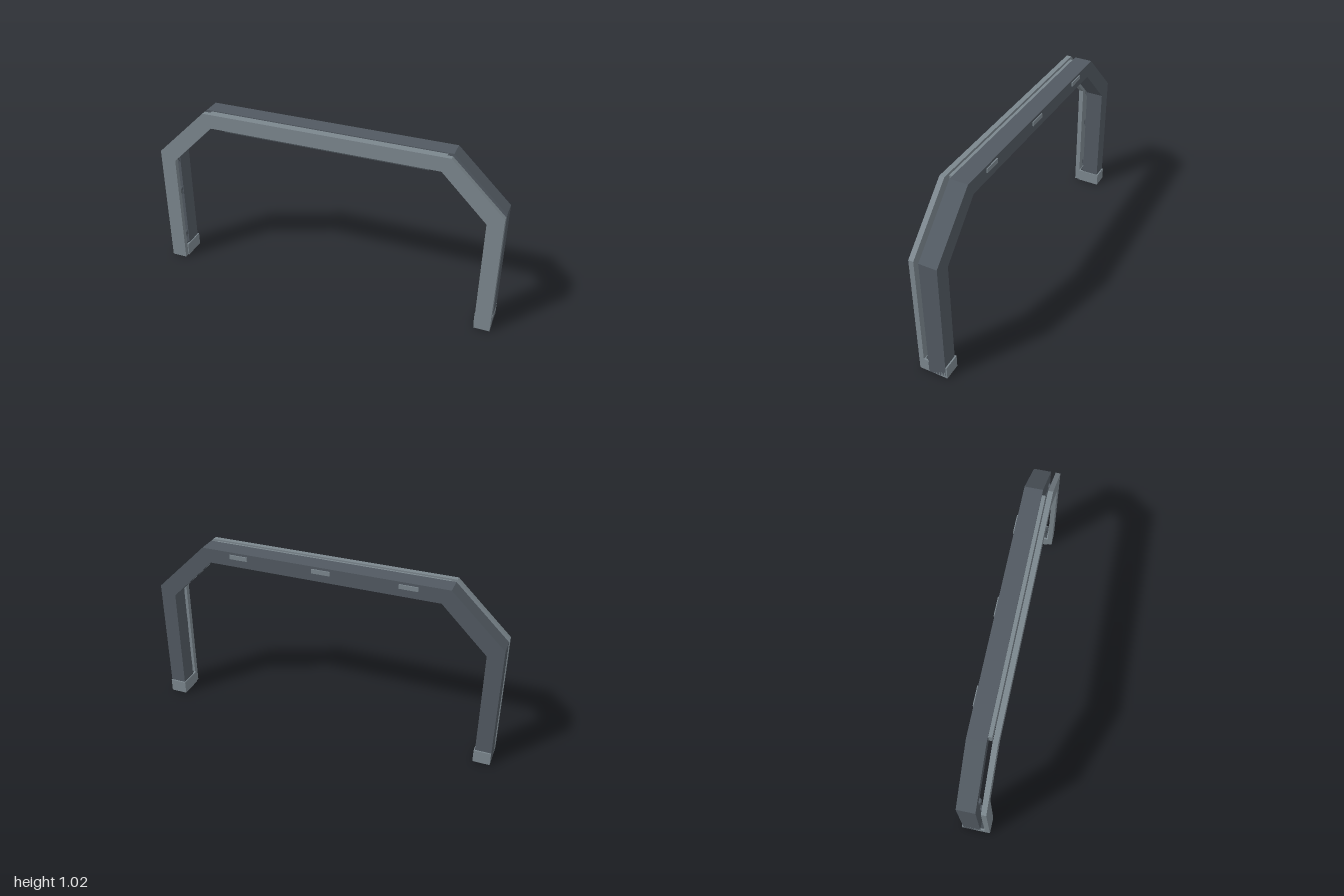
import * as THREE from 'three';

const mat = (name, color) => {
  const m = new THREE.MeshStandardMaterial({ color });
  m.name = name;
  return m;
};

export function createModel() {
  const group = new THREE.Group();
  const plateGrey = mat('plate grey', 0x7b868d);
  const bodyGrey = mat('body grey', 0x515961);
  const darkGrey = mat('dark grey', 0x434a50);
  const amber = mat('amber', 0x9a7040);

  const add = (name, geometry, material, x = 0, y = 0, z = 0, parent = group) => {
    const mesh = new THREE.Mesh(geometry, material);
    mesh.name = name;
    mesh.position.set(x, y, z);
    parent.add(mesh);
    return mesh;
  };
  // Box given by its minimum and maximum corners
  const span = (name, material, x0, x1, y0, y1, z0, z1) =>
    add(name, new THREE.BoxGeometry(x1 - x0, y1 - y0, z1 - z0), material,
      (x0 + x1) / 2, (y0 + y1) / 2, (z0 + z1) / 2);

  // Arch with chamfered shoulders, mirrored about x = 0
  const half = [[0.91, 0], [1, 0], [1, 0.73], [0.7, 1.02]];
  const inner = [[0.655, 0.937], [0.91, 0.682]];
  const mirror = (pts) => pts.map(([x, y]) => [-x, y]).reverse();
  const outline = [...half, ...mirror(half), ...mirror(inner), ...inner.slice(0, 1), inner[1]];
  const archShape = new THREE.Shape(outline.map(([x, y]) => new THREE.Vector2(x, y)));
  const arch = (name, material, z0, z1) =>
    add(name, new THREE.ExtrudeGeometry(archShape, { depth: z1 - z0, bevelEnabled: false }),
      material, 0, 0, z0);

  arch('rearFrame', bodyGrey, -0.073, 0.028);
  arch('frontPlate', plateGrey, 0.055, 0.083);

  // Rail joining plate and frame along the top beam
  span('mountingRail', plateGrey, -0.67, 0.67, 0.937, 1.015, 0.028, 0.048);
  span('railSpacer', darkGrey, -0.58, 0.58, 0.93, 0.943, 0.028, 0.055);

  // Tilted lamp bar under the beam
  const lamp = new THREE.Group();
  lamp.name = 'lampBar';
  lamp.position.set(0, 0.922, 0.036);
  lamp.rotation.x = -0.2;
  group.add(lamp);
  add('lampHousing', new THREE.BoxGeometry(1.17, 0.02, 0.038), darkGrey, 0, 0, 0, lamp);
  add('lampStrip', new THREE.BoxGeometry(1.05, 0.004, 0.02), amber, 0, -0.011, 0, lamp);

  // Clips on the back of the beam
  for (const x of [-0.48, 0, 0.48]) {
    span('backClip', plateGrey, x - 0.052, x + 0.052, 0.982, 1.006, -0.079, -0.07);
  }

  // Feet and gap clips on both legs
  for (const s of [-1, 1]) {
    const side = (name, material, x0, x1, ...rest) =>
      span(name, material, Math.min(s * x0, s * x1), Math.max(s * x0, s * x1), ...rest);
    side('footCap', plateGrey, 0.904, 1, 0, 0.075, -0.081, 0.055);
    side('footTongue', darkGrey, 0.915, 0.99, 0.07, 0.084, 0.028, 0.046);
    for (const y of [0.143, 0.453, 0.677]) {
      side('gapClip', bodyGrey, 0.915, 0.94, y - 0.023, y + 0.023, 0.026, 0.037);
      side('gapClipHead', darkGrey, 0.918, 0.937, y - 0.013, y + 0.013, 0.036, 0.042);
    }
  }
  return group;
}
